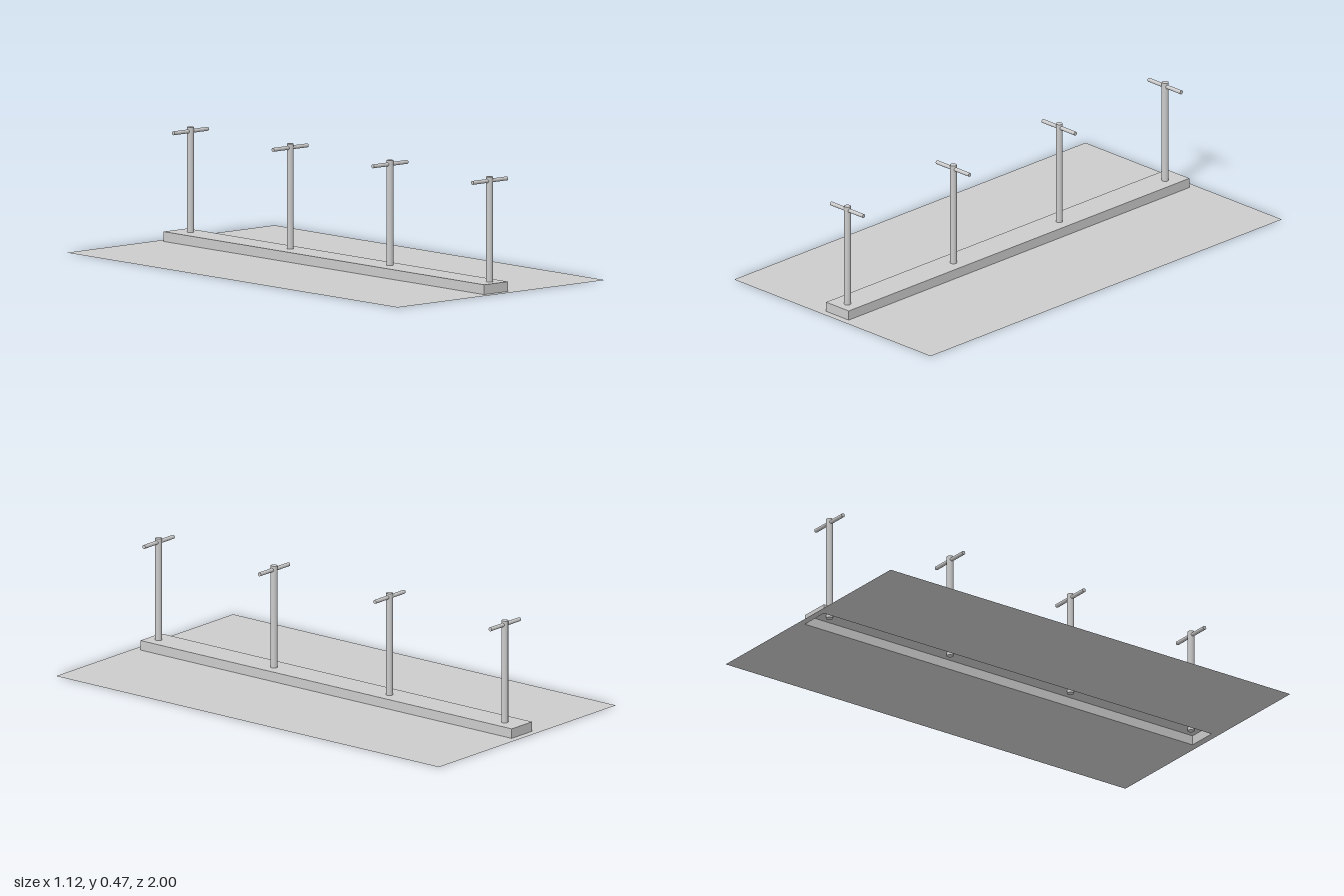
import * as THREE from 'three';

const material = new THREE.MeshStandardMaterial({ color: 0xcccccc });
const sheetMaterial = new THREE.MeshStandardMaterial({ color: 0xcccccc, side: THREE.DoubleSide });

// Footprint and height of the raised rib
const RIB = { x0: -0.066, x1: 0.063, z: 0.97, h: 0.04 };

function add(parent, name, geometry, mat = material) {
  const mesh = new THREE.Mesh(geometry, mat);
  mesh.name = name;
  parent.add(mesh);
  return mesh;
}

// Thin flat sheet, open beneath the rib
function sheetGeometry() {
  const rect = (path, x0, x1, z) =>
    path.moveTo(x0, -z).lineTo(x1, -z).lineTo(x1, z).lineTo(x0, z).closePath();
  const shape = rect(new THREE.Shape(), -0.56, 0.56, 1);
  shape.holes.push(rect(new THREE.Path(), RIB.x0, RIB.x1, RIB.z));
  return new THREE.ShapeGeometry(shape).rotateX(-Math.PI / 2);
}

// Hollow rib: a box without its bottom face
function ribGeometry() {
  const box = new THREE.BoxGeometry(RIB.x1 - RIB.x0, RIB.h, RIB.z * 2);
  box.translate((RIB.x0 + RIB.x1) / 2, RIB.h / 2, 0);
  const bottom = box.groups[3];
  const index = Array.from(box.index.array);
  index.splice(bottom.start, bottom.count);
  box.setIndex(index);
  box.clearGroups();
  return box;
}

// Upright post with a crossbar through its top
function createPost() {
  const post = new THREE.Group();
  post.name = 'post';
  const y0 = 0.027, y1 = 0.468;
  add(post, 'upright', new THREE.CylinderGeometry(0.0138, 0.0138, y1 - y0, 16))
    .position.y = (y0 + y1) / 2;
  add(post, 'crossbar', new THREE.CylinderGeometry(0.008, 0.008, 0.186, 16).rotateZ(Math.PI / 2))
    .position.y = 0.4515;
  return post;
}

export function createModel() {
  const model = new THREE.Group();
  model.name = 'postRow';
  add(model, 'groundSheet', sheetGeometry(), sheetMaterial);
  add(model, 'rib', ribGeometry(), sheetMaterial);

  // Four evenly spaced posts along the rib
  for (let i = 0; i < 4; i++) {
    const post = createPost();
    post.position.set(0.007, 0, 0.921 - i * 0.603);
    model.add(post);
  }
  return model;
}
